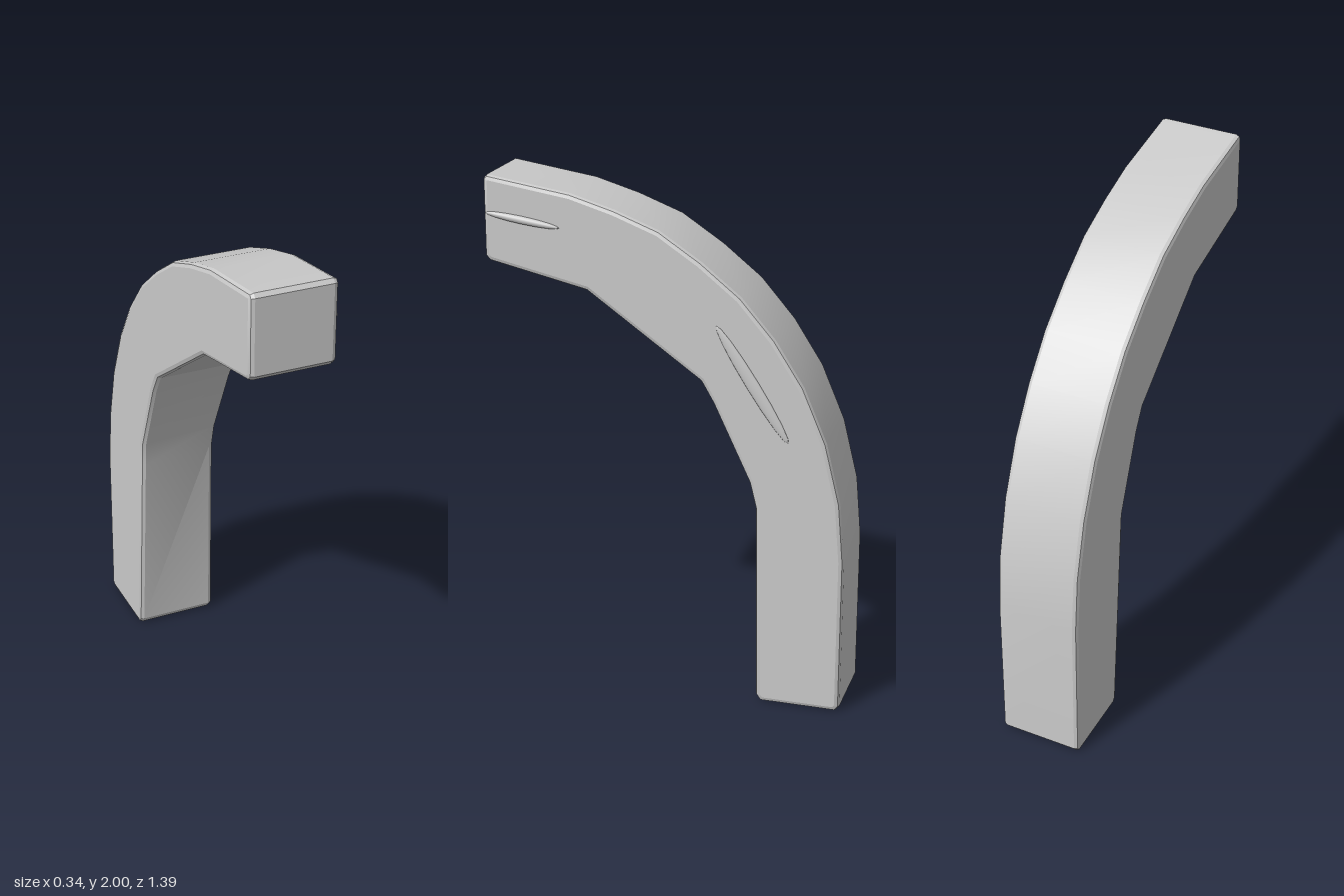
import * as THREE from 'three';
import { toCreasedNormals } from 'three/addons/utils/BufferGeometryUtils.js';

const material = new THREE.MeshStandardMaterial({ color: 0xcccccc });
const LEFT = 0.155, RIGHT = -0.172, BEVEL = 0.018;

// Side outline of the bent bar as [z, y], from the foot round the inner bend and back down the outer bend
const outline = [
  [-0.68, 0], [-0.385, 0], [-0.367, 0.025],
  [-0.355, 0.8], [-0.33, 0.9], [-0.187, 1.2], [-0.14, 1.28],
  [0.3, 1.59], [0.68, 1.675], [0.698, 1.695],
  [0.698, 1.985], [0.685, 2], [0.36, 1.95], [0.19, 1.9], [0.02, 1.835],
  [-0.14, 1.73], [-0.29, 1.61], [-0.42, 1.46], [-0.53, 1.29],
  [-0.62, 1.08], [-0.677, 0.85], [-0.697, 0.62], [-0.697, 0.02],
];

function bentBar() {
  const shape = new THREE.Shape(outline.map(([z, y]) => new THREE.Vector2(z, y)));
  const geometry = new THREE.ExtrudeGeometry(shape, {
    depth: LEFT - RIGHT - 2 * BEVEL,
    bevelThickness: BEVEL, bevelSize: BEVEL, bevelOffset: -BEVEL, bevelSegments: 2,
  });
  geometry.rotateY(-Math.PI / 2);
  geometry.translate(LEFT - BEVEL, 0, 0);

  // The inner bend is fuller on the right-hand edge
  const p = geometry.attributes.position;
  for (let i = 0; i < p.count; i++) {
    const y = p.getY(i), z = p.getZ(i);
    if (p.getX(i) < 0 && z > -0.42 && z < -0.3 && y > 0.7 && y < 1) {
      p.setZ(i, z + (y < 0.85 ? 0.04 : 0.022));
    }
  }
  return toCreasedNormals(geometry, 0.38);
}

// A shallow crease standing slightly proud of the left face
function ridge(name, points, height, width) {
  const mesh = new THREE.Mesh(new THREE.SphereGeometry(1, 12, 8), material);
  const [a, b] = points.map(([z, y]) => new THREE.Vector3(LEFT, y, z));
  mesh.name = name;
  mesh.position.copy(a).lerp(b, 0.5);
  mesh.scale.set(height, a.distanceTo(b) / 2, width);
  mesh.quaternion.setFromUnitVectors(new THREE.Vector3(0, 1, 0), b.sub(a).normalize());
  return mesh;
}

export function createModel() {
  const model = new THREE.Group();
  model.name = 'bentBar';

  const bar = new THREE.Mesh(bentBar(), material);
  bar.name = 'bar';
  model.add(bar);

  model.add(
    ridge('tipCrease', [[0.69, 1.86], [0.4, 1.82]], 0.014, 0.015),
    ridge('bendCrease', [[-0.2, 1.5], [-0.48, 1.07]], 0.009, 0.025),
  );
  return model;
}
